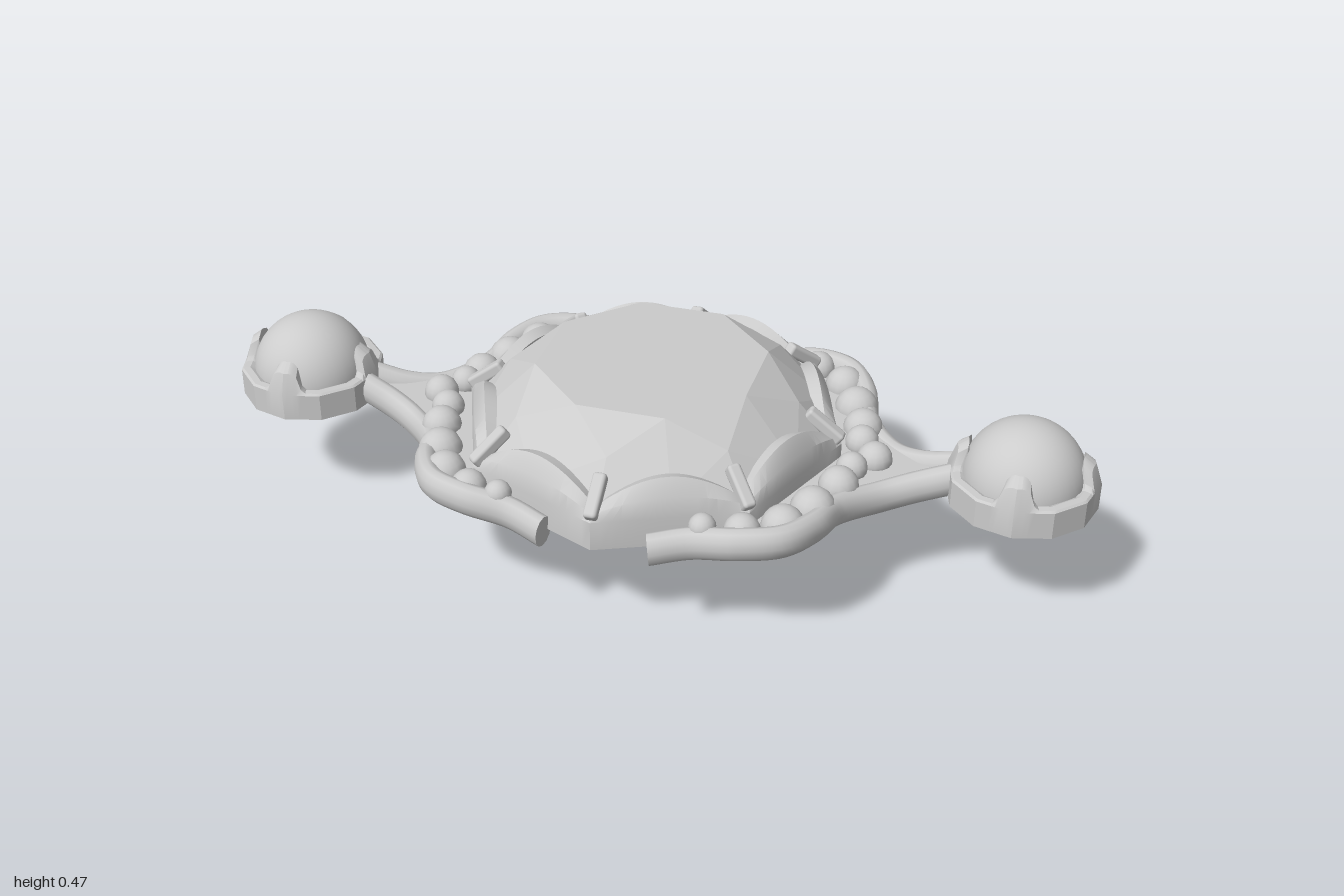
import * as THREE from 'three';
import { toCreasedNormals } from 'three/addons/utils/BufferGeometryUtils.js';
import { ConvexGeometry } from 'three/addons/geometries/ConvexGeometry.js';
import { RoundedBoxGeometry } from 'three/addons/geometries/RoundedBoxGeometry.js';

const metal = new THREE.MeshStandardMaterial({ color: 0xcccccc });
const thin = new THREE.MeshStandardMaterial({ color: 0xcccccc, side: THREE.DoubleSide });

function add(parent, name, geometry, material = metal) {
  const mesh = new THREE.Mesh(geometry, material);
  mesh.name = name;
  parent.add(mesh);
  return mesh;
}

// Radius of a regular polygon (corner radius R, corner at angle 0) at angle a
function polygonRadius(a, sides, R) {
  const step = (2 * Math.PI) / sides;
  const d = (((a % step) + step) % step) - step / 2;
  return (R * Math.cos(step / 2)) / Math.cos(d);
}

// Closed ring whose cross-section [r, y] depends on the angle
function ring(section, segments, crease) {
  const pos = [], index = [], m = section(0).length;
  for (let i = 0; i < segments; i++) {
    const a = (i / segments) * Math.PI * 2;
    for (const [r, y] of section(a)) pos.push(r * Math.sin(a), y, r * Math.cos(a));
    for (let k = 0; k < m; k++) {
      const j = (i + 1) % segments, l = (k + 1) % m;
      index.push(i * m + k, j * m + k, j * m + l, i * m + k, j * m + l, i * m + l);
    }
  }
  const g = new THREE.BufferGeometry();
  g.setAttribute('position', new THREE.Float32BufferAttribute(pos, 3));
  g.setIndex(index);
  return toCreasedNormals(g, crease);
}

// Brilliant-cut stone as the hull of its facet corners
function gemGeometry() {
  const pts = [new THREE.Vector3(0, 0, 0)];
  const loop = (n, r, y, turn) => {
    for (let i = 0; i < n; i++) {
      const a = ((i + turn) / n) * Math.PI * 2;
      pts.push(new THREE.Vector3(r * Math.sin(a), y, r * Math.cos(a)));
    }
  };
  loop(8, 0.26, 0.465, 0.5);
  loop(8, 0.335, 0.408, 0);
  loop(16, 0.4, 0.335, 0);
  loop(16, 0.4, 0.32, 0);
  loop(8, 0.11, 0.08, 0.5);
  return new ConvexGeometry(pts);
}

// Half of the outer wire: x, y, z from the free end to the pearl
const wire = [
  [0.115, 0.253, 0.42], [0.2, 0.268, 0.393], [0.3, 0.285, 0.393], [0.385, 0.287, 0.36],
  [0.435, 0.28, 0.28], [0.462, 0.265, 0.18], [0.54, 0.252, 0.085], [0.61, 0.265, 0.045], [0.69, 0.29, 0.025],
];

// Beads of one side: x, z, radius
const beads = [
  [0.22, 0.375, 0.03], [0.3, 0.353, 0.04], [0.375, 0.3, 0.048], [0.42, 0.215, 0.05],
  [0.455, 0.12, 0.045], [0.47, 0.055, 0.035], [0.51, 0, 0.04], [0.47, -0.06, 0.038],
  [0.458, -0.13, 0.045], [0.425, -0.22, 0.05], [0.38, -0.305, 0.046], [0.305, -0.358, 0.04], [0.23, -0.378, 0.03],
];

function frameWire(parent, side) {
  // Oval wire: a round tube on a flattened path, stretched in height
  const stretch = 1.4, radius = 0.027;
  const path = new THREE.CatmullRomCurve3(wire.map(([x, y, z]) => new THREE.Vector3(x, y / stretch, z * side)));
  add(parent, 'frameWire', new THREE.TubeGeometry(path, 48, radius, 12).scale(1, stretch, 1));
  const cap = new THREE.CircleGeometry(radius, 12);
  cap.lookAt(path.getTangent(0).negate());
  const p = path.getPoint(0);
  cap.translate(p.x, p.y, p.z).scale(1, stretch, 1);
  add(parent, 'wireEnd', cap, thin);
}

function pearlSetting() {
  const g = new THREE.Group();
  g.name = 'pearlSetting';
  // Collar with four rounded claws leaning in
  const section = (a) => {
    const q = Math.PI / 2;
    const d = Math.abs(a - Math.round(a / q) * q);
    const t = Math.max(0, 1 - (d / 0.3) ** 2);
    const h = Math.min(1, Math.sqrt(t) * 1.05) * THREE.MathUtils.smoothstep(t, 0, 0.6);
    const r = polygonRadius(a, 12, 0.165);
    return [[r, 0.255], [r, 0.318], [r - 0.005 - 0.012 * h, 0.322 + 0.045 * h],
      [r - 0.02 - 0.02 * h, 0.323 + 0.062 * h], [r - 0.03 - 0.012 * h, 0.318 + 0.04 * h], [r - 0.03, 0.255]];
  };
  add(g, 'pearlCollar', ring(section, 96, 0.45));
  // Domed pearl, flat underneath
  const dome = new THREE.SphereGeometry(0.135, 36, 18, 0, Math.PI * 2, 0, Math.PI * 0.58);
  add(g, 'pearl', dome).position.y = 0.305;
  const base = new THREE.CircleGeometry(0.145, 36).rotateX(-Math.PI / 2);
  add(g, 'pearlBase', base, thin).position.y = 0.275;
  return g;
}

function wing() {
  const g = new THREE.Group();
  frameWire(g, 1);
  frameWire(g, -1);

  // Floor plate between wire and stone setting
  const outer = wire.slice(1).map(([x, , z]) => [x, z]);
  const outline = [
    ...outer,
    ...outer.map(([x, z]) => [x, -z]).reverse(),
    [0.17, -0.37], [0.29, -0.29], [0.4, 0], [0.29, 0.29], [0.17, 0.37],
  ].map(([x, z]) => new THREE.Vector2(x, z));
  const plate = new THREE.ExtrudeGeometry(new THREE.Shape(outline), { depth: 0.02, bevelEnabled: false });
  add(g, 'floorPlate', plate.rotateX(Math.PI / 2)).position.y = 0.285;

  // Row of small beads
  for (const [x, z, r] of beads) {
    add(g, 'bead', new THREE.SphereGeometry(r, 14, 10)).position.set(x, 0.332 - r, z);
  }

  const pearl = pearlSetting();
  pearl.position.x = 0.835;
  g.add(pearl);
  return g;
}

export function createModel() {
  const model = new THREE.Group();
  model.name = 'jewelConnector';

  add(model, 'centreStone', gemGeometry());

  // Eight-sided setting whose rim swells into a petal on every side
  const setting = new THREE.Group();
  setting.name = 'stoneSetting';
  setting.scale.z = 1.04;
  model.add(setting);
  const section = (a) => {
    const s = Math.abs(Math.sin(4 * a)) ** 0.8;
    const r = polygonRadius(a, 8, 0.435);
    return [[r, 0.25], [r, 0.318], [r - 0.012 + 0.006 * s, 0.33 + 0.035 * s],
      [r - 0.035 + 0.005 * s, 0.334 + 0.066 * s], [r - 0.052 - 0.005 * s, 0.33 + 0.06 * s], [r - 0.04, 0.25]];
  };
  add(setting, 'petalBezel', ring(section, 128, 0.6));

  // Claws at the eight corners
  for (let i = 0; i < 8; i++) {
    const claw = new THREE.Group();
    claw.name = 'claw';
    claw.rotation.y = (i * Math.PI) / 4;
    const bar = add(claw, 'clawBar', new RoundedBoxGeometry(0.03, 0.03, 0.1, 2, 0.008));
    bar.position.set(0, 0.358, 0.395);
    bar.rotation.x = 0.65;
    setting.add(claw);
  }

  // Matching wings on both sides
  for (const [name, turn] of [['leftWing', 0], ['rightWing', Math.PI]]) {
    const side = wing();
    side.name = name;
    side.rotation.y = turn;
    model.add(side);
  }
  return model;
}
